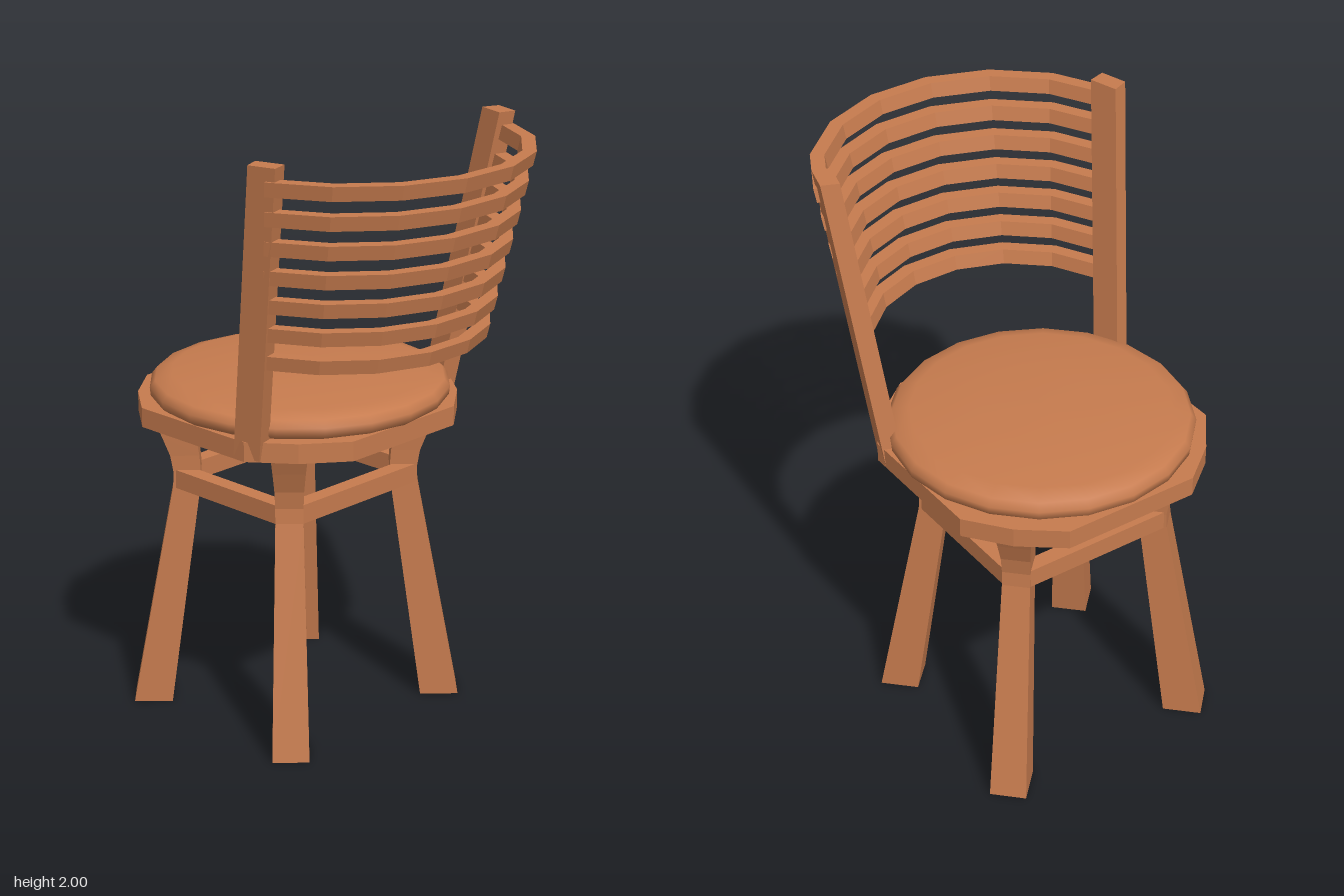
import * as THREE from 'three';

const wood = new THREE.MeshStandardMaterial({ color: 0xc67b4e });
wood.name = 'warm wood';

const SEAT_Z = -0.16; // centre of the seat
const LEG_Z = -0.172; // centre of the leg square

// Solid skinned over a row of matching cross-sections, flat shaded
function loft(sections) {
  const pos = [];
  const tri = (a, b, c) => pos.push(...a, ...b, ...c);
  const n = sections[0].length;
  for (let s = 0; s < sections.length - 1; s++) {
    for (let i = 0; i < n; i++) {
      const j = (i + 1) % n;
      const [a, b, c, d] = [sections[s][i], sections[s][j], sections[s + 1][j], sections[s + 1][i]];
      tri(a, b, c);
      tri(a, c, d);
    }
  }
  const first = sections[0], last = sections[sections.length - 1];
  for (let i = 1; i < n - 1; i++) {
    tri(first[0], first[i + 1], first[i]);
    tri(last[0], last[i], last[i + 1]);
  }
  // Turn the faces outward if the enclosed volume is negative
  let volume = 0;
  const v = k => new THREE.Vector3(pos[k], pos[k + 1], pos[k + 2]);
  const origin = v(0);
  for (let k = 0; k < pos.length; k += 9) {
    volume += v(k).sub(origin).dot(v(k + 3).sub(origin).cross(v(k + 6).sub(origin)));
  }
  if (volume < 0) {
    for (let k = 0; k < pos.length; k += 9) {
      for (let m = 0; m < 3; m++) [pos[k + 3 + m], pos[k + 6 + m]] = [pos[k + 6 + m], pos[k + 3 + m]];
    }
  }
  const geo = new THREE.BufferGeometry();
  geo.setAttribute('position', new THREE.Float32BufferAttribute(pos, 3));
  geo.computeVertexNormals();
  return geo;
}

export function createModel() {
  const chair = new THREE.Group();
  chair.name = 'chair';
  const add = (name, geo, x = 0, y = 0, z = 0) => {
    const mesh = new THREE.Mesh(geo, wood);
    mesh.name = name;
    mesh.position.set(x, y, z);
    chair.add(mesh);
    return mesh;
  };

  // Round cushion
  const profile = [[0, 1.07], [0.38, 1.07], [0.465, 1.08], [0.49, 1.098], [0.493, 1.125],
    [0.475, 1.148], [0.42, 1.165], [0.2, 1.18], [0, 1.182]];
  add('seatCushion', new THREE.LatheGeometry(profile.map(p => new THREE.Vector2(...p)), 20), 0, 0, -0.15);

  // Faceted apron below the cushion
  const ring = [];
  for (let q = 0; q < 4; q++) {
    const c = Math.round(Math.cos(q * Math.PI / 2)), s = Math.round(Math.sin(q * Math.PI / 2));
    for (const [x, z] of [[0.235, 0.475], [0.37, 0.37], [0.475, 0.235]]) {
      ring.push([x * c + z * s, z * c - x * s]);
    }
  }
  // Order the corners around the ring
  ring.sort((a, b) => Math.atan2(a[1], a[0]) - Math.atan2(b[1], b[0]));
  add('seatApron', loft([1.02, 1.085].map(y => ring.map(([x, z]) => [x, y, z + SEAT_Z]))));

  // Four diagonal legs: height, centre, tangential width, radial depth
  const legLevels = [
    [0, 0.3575, 0.12, 0.128], [0.77, 0.269, 0.09, 0.09], [0.82, 0.267, 0.09, 0.09],
    [0.88, 0.272, 0.094, 0.096], [0.95, 0.285, 0.105, 0.112], [1.03, 0.302, 0.12, 0.13]];
  const h = Math.SQRT1_2 / 2;
  for (const sx of [1, -1]) {
    for (const sz of [1, -1]) {
      const sections = legLevels.map(([y, c, w, d]) =>
        [[1, 1], [-1, 1], [-1, -1], [1, -1]].map(([t, r]) => [
          sx * (c + (r * d + t * w) * h), y,
          LEG_Z + sz * (c - 0.03 + (r * d - t * w) * h)]));
      add((sz > 0 ? 'back' : 'front') + 'restSideLeg' + (sx > 0 ? 'Left' : 'Right'), loft(sections));
    }
  }

  // Square of stretchers joining the legs
  for (const s of [1, -1]) {
    add('crossStretcher', new THREE.BoxGeometry(0.53, 0.063, 0.055), 0, 0.798, LEG_Z + s * 0.268);
    add('sideStretcher', new THREE.BoxGeometry(0.055, 0.063, 0.47), s * 0.298, 0.798, LEG_Z);
  }

  // Leaning posts of the backrest
  const postTop = [[0.565, 0.198], [0.51, 0.175], [0.483, 0.27], [0.54, 0.288]];
  for (const s of [1, -1]) {
    const bottom = postTop.map(([x, z]) => [s * (x - 0.09), 1.025, z - 0.17]);
    const top = postTop.map(([x, z]) => [s * x, 2, z]);
    add(s > 0 ? 'backPostLeft' : 'backPostRight', loft([bottom, top]));
  }

  // Seven curved slats, wider and further out toward the top
  const rim = (y, angle, inset) => {
    const t = (y - 1.36) / 0.573;
    const r = 0.497 + 0.083 * t - inset;
    return [r * Math.sin(angle), y, 0.01 + 0.065 * t + r * Math.cos(angle)];
  };
  for (let i = 0; i < 7; i++) {
    const y0 = 1.338 + i * 0.0953, y1 = y0 + 0.047;
    const sections = [];
    for (let k = 0; k < 8; k++) {
      const a = THREE.MathUtils.degToRad((k - 3.5) * 20.6);
      sections.push([rim(y0, a, 0), rim(y1, a, 0), rim(y1, a, 0.045), rim(y0, a, 0.045)]);
    }
    add('backSlat' + (i + 1), loft(sections));
  }
  return chair;
}
